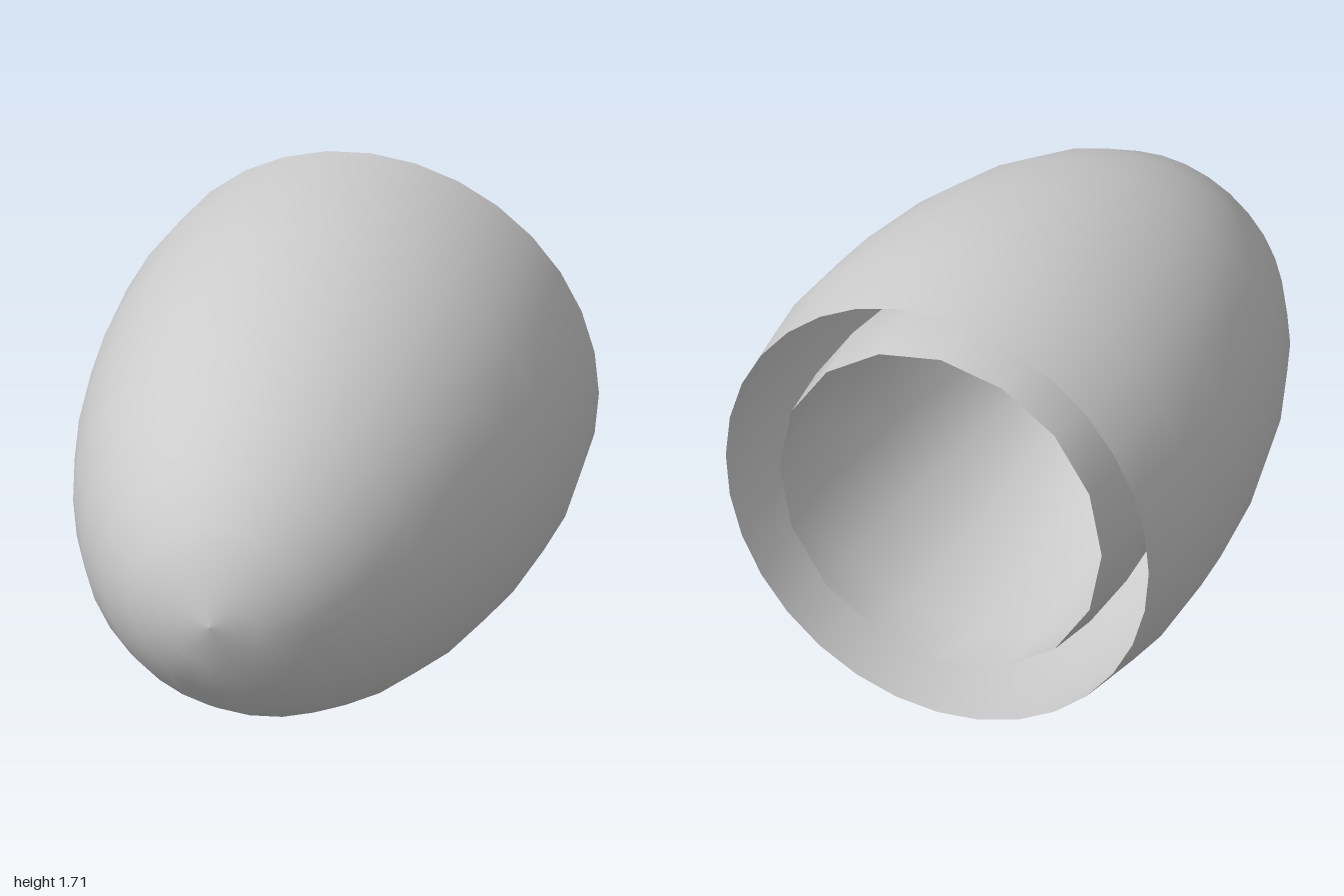
import * as THREE from 'three';

// Outline from the open rim to the tip, as [radius, z]
const OUTLINE = [
  [0.82, -1], [0.854, -0.69], [0.838, -0.36], [0.789, -0.043], [0.71, 0.249],
  [0.604, 0.505], [0.474, 0.715], [0.327, 0.871], [0.167, 0.968], [0, 1],
];

const material = new THREE.MeshStandardMaterial({ color: 0xcccccc, side: THREE.DoubleSide });

// Thin bullet-shaped shell, open at the back, with its tip on +z
function shell(name, outline, sides) {
  const points = outline.map(([r, z]) => new THREE.Vector2(r, z));
  const geometry = new THREE.LatheGeometry(points, sides);
  geometry.rotateX(Math.PI / 2);
  const mesh = new THREE.Mesh(geometry, material);
  mesh.name = name;
  mesh.position.y = 0.855;
  return mesh;
}

export function createModel() {
  const group = new THREE.Group();
  group.name = 'doubleWalledNoseCone';

  group.add(shell('outerShell', OUTLINE, 32));

  // Inner shell: smaller and coarser, its rim just inside the outer rim
  const coarse = OUTLINE.filter((_, i) => i === 0 || i % 2 === 1);
  const inner = shell('innerShell', coarse, 16);
  inner.scale.setScalar(0.762);
  inner.position.z = -0.975 + 0.762;
  group.add(inner);

  return group;
}
